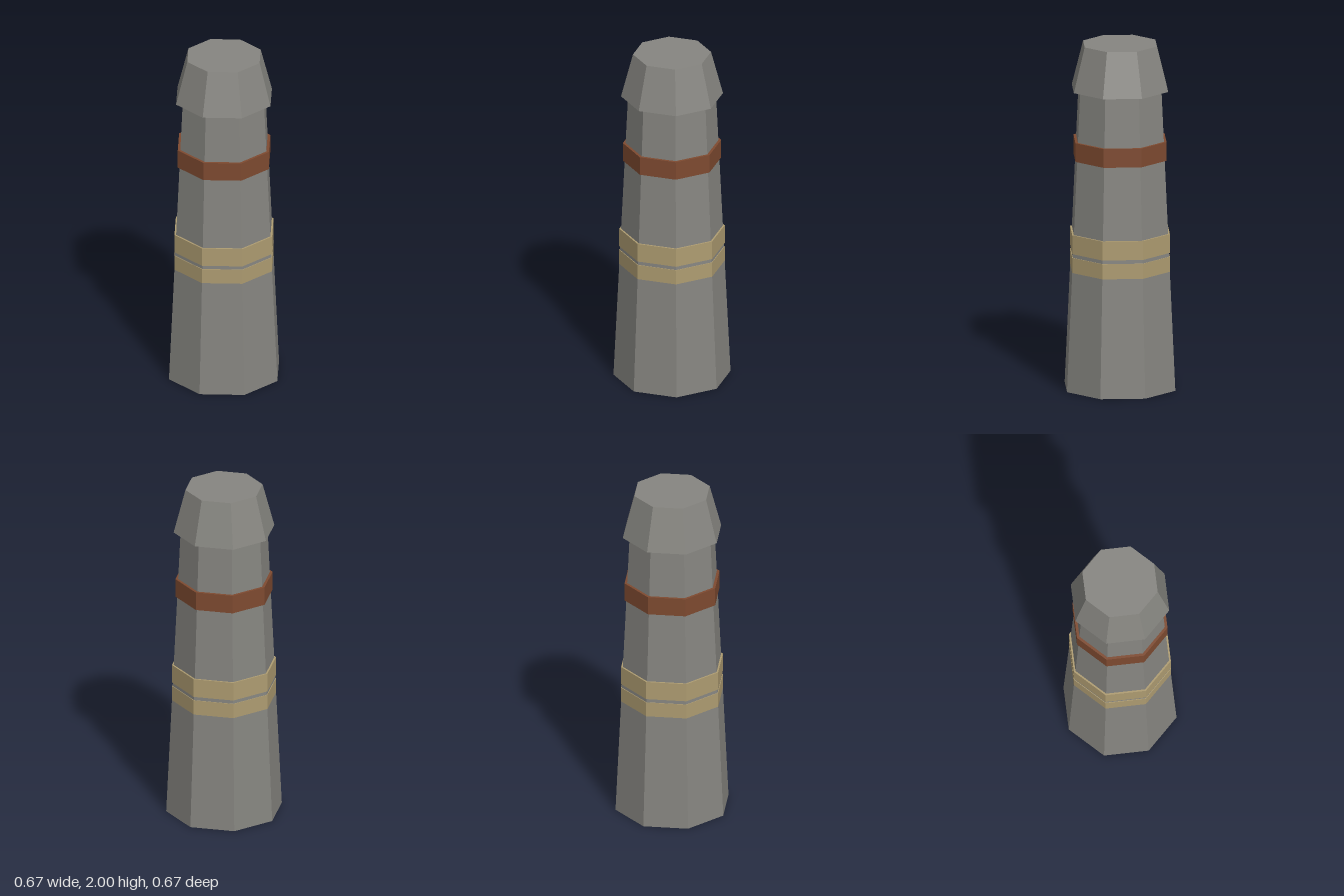
import * as THREE from 'three';

const SIDES = 8;

export function createModel() {
  const model = new THREE.Group();
  model.name = 'bandedPillar';

  const material = (name, color) => {
    const m = new THREE.MeshStandardMaterial({ color });
    m.name = name;
    return m;
  };
  const stone = material('warmGrey', 0x868580);
  const gold = material('dullGold', 0xae9c71);
  const rust = material('rustBrown', 0x7e4a30);

  // Closed octagonal section with flat faces, from height y0 to y1
  const section = (name, mat, y0, y1, r0, r1 = r0) => {
    const geometry = new THREE.CylinderGeometry(r1, r0, y1 - y0, SIDES).toNonIndexed();
    geometry.computeVertexNormals();
    geometry.translate(0, (y0 + y1) / 2, 0);
    const mesh = new THREE.Mesh(geometry, mat);
    mesh.name = name;
    model.add(mesh);
  };

  // Tapered shaft and overhanging cap
  section('shaft', stone, 0, 1.74, 0.333, 0.25);
  section('cap', stone, 1.74, 2, 0.29, 0.222);

  // Straight bands; the lowest one sinks into the shaft at its bottom edge
  section('lowerGoldBand', gold, 0.67, 0.78, 0.3);
  section('upperGoldBand', gold, 0.802, 0.912, 0.3);
  section('rustBand', rust, 1.338, 1.447, 0.28);

  return model;
}
